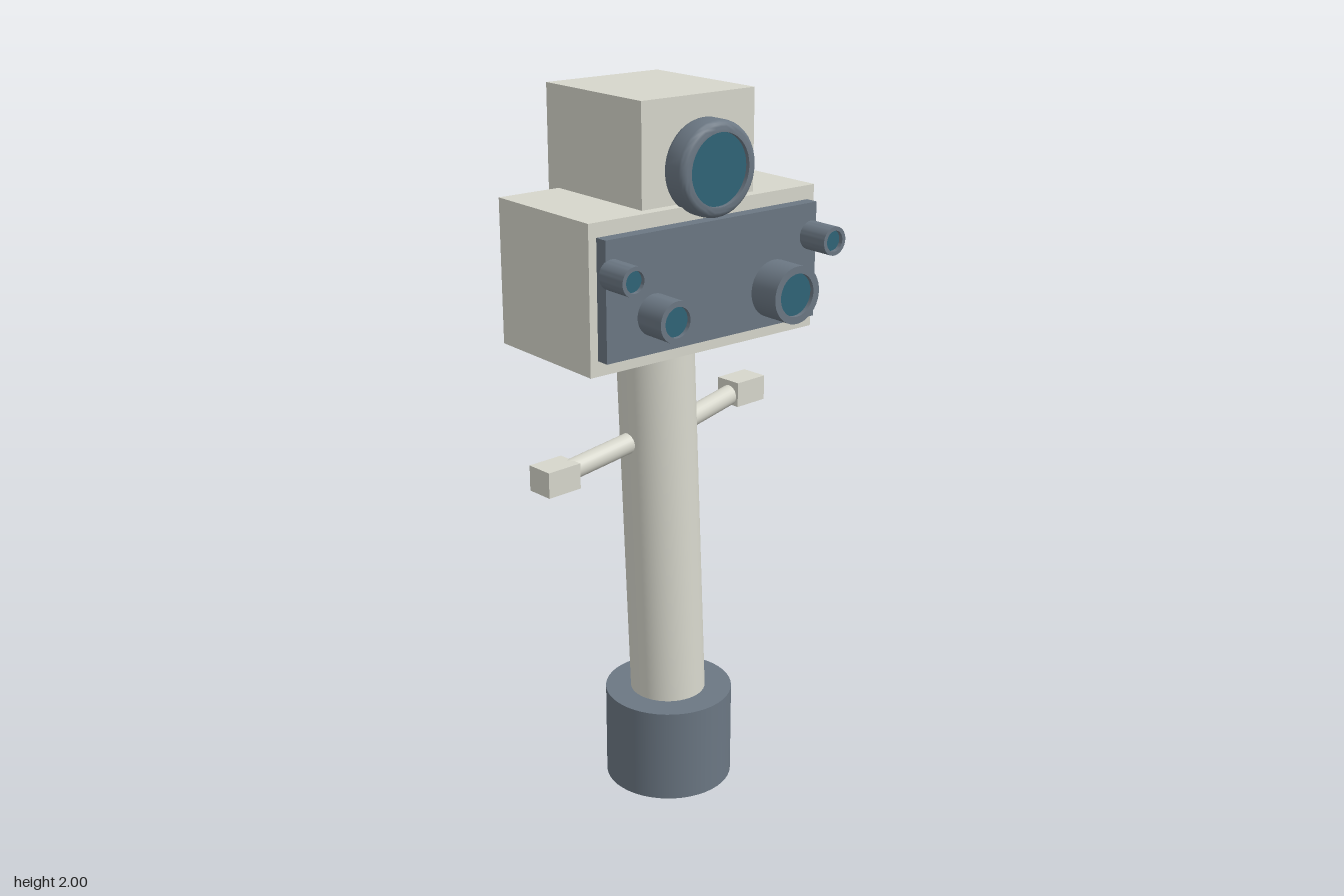
import * as THREE from 'three';
import { toCreasedNormals } from 'three/addons/utils/BufferGeometryUtils.js';

const V = (x, y, z) => new THREE.Vector3(x, y, z);

export function createModel() {
  const cream = new THREE.MeshStandardMaterial({ color: 0xd6d6cb, name: 'cream' });
  const slate = new THREE.MeshStandardMaterial({ color: 0x6b7783, name: 'slate' });
  const glass = new THREE.MeshStandardMaterial({ color: 0x2f6477, name: 'teal glass' });

  const model = new THREE.Group();
  model.name = 'robot';

  function add(parent, name, geometry, material, x = 0, y = 0, z = 0) {
    const mesh = new THREE.Mesh(geometry, material);
    mesh.name = name;
    mesh.position.set(x, y, z);
    parent.add(mesh);
    return mesh;
  }
  const box = (w, h, d) => new THREE.BoxGeometry(w, h, d);

  // Round bar between two points
  function rod(parent, name, a, b, radius, material, sides = 32) {
    const dir = b.clone().sub(a);
    const mesh = add(parent, name, new THREE.CylinderGeometry(radius, radius, dir.length(), sides), material);
    mesh.position.copy(a).lerp(b, 0.5);
    mesh.quaternion.setFromUnitVectors(V(0, 1, 0), dir.normalize());
  }

  // Forward-facing barrel with a recessed glass; bevel rounds the outer edges
  function lens(parent, name, x, y, back, front, radius, inner, bevel) {
    const group = new THREE.Group();
    group.name = name;
    group.position.set(x, y, back);
    group.rotation.x = Math.PI / 2;
    parent.add(group);
    const depth = front - back;
    const profile = [new THREE.Vector2(0, 0)];
    const steps = bevel ? 6 : 0;
    for (const top of [false, true]) {
      for (let i = 0; i <= steps; i++) {
        const t = (steps ? i / steps : 0) * Math.PI / 2;
        const r = radius - bevel + bevel * (top ? Math.cos(t) : Math.sin(t));
        const h = top ? depth - bevel + bevel * Math.sin(t) : bevel - bevel * Math.cos(t);
        profile.push(new THREE.Vector2(r, h));
      }
    }
    const recess = depth - 0.012;
    profile.push(new THREE.Vector2(inner, depth), new THREE.Vector2(inner, recess));
    add(group, 'barrel', toCreasedNormals(new THREE.LatheGeometry(profile, 40), 0.6), slate);
    const disc = add(group, 'glass', new THREE.CircleGeometry(inner, 40), glass, 0, recess, 0);
    disc.rotation.x = -Math.PI / 2;
  }

  // Base and leaning column
  add(model, 'base', new THREE.CylinderGeometry(0.183, 0.183, 0.275, 48), slate, -0.003, 0.1375, -0.015);
  rod(model, 'column', V(-0.003, 0.2, -0.0145), V(-0.003, 1.4, -0.0725), 0.108, cream, 48);
  rod(model, 'cable', V(0.113, 0.25, -0.019), V(0.113, 1.31, -0.076), 0.02, slate, 20);

  // Arms and block hands
  for (const [side, shoulder, hand] of [[1, 1.04, 1.09], [-1, 1.058, 1.0]]) {
    const label = side > 0 ? 'left' : 'right';
    rod(model, label + 'Arm', V(0, shoulder, -0.055), V(side * 0.35, hand, -0.084), 0.029, cream, 24);
    add(model, label + 'Hand', box(0.108, 0.072, 0.081), cream, side * 0.351, hand, -0.084);
  }

  // Head, turned slightly to its right
  const head = new THREE.Group();
  head.name = 'head';
  head.position.set(-0.0025, 0, -0.05);
  head.rotation.y = -0.07;
  model.add(head);
  add(head, 'mainHousing', box(0.752, 0.394, 0.39), cream, 0, 1.531, 0);
  add(head, 'upperHousing', box(0.371, 0.365, 0.404), cream, 0, 1.8175, -0.039);
  add(head, 'facePanel', box(0.704, 0.315, 0.05), slate, 0, 1.5325, 0.207);

  // Lenses
  lens(head, 'mainEye', 0.002, 1.82, 0.163, 0.247, 0.125, 0.095, 0.022);
  lens(head, 'smallRightLens', -0.333, 1.602, 0.23, 0.325, 0.039, 0.028, 0);
  lens(head, 'smallLeftLens', 0.333, 1.602, 0.23, 0.325, 0.039, 0.028, 0);
  lens(head, 'mediumLens', -0.2, 1.477, 0.23, 0.325, 0.055, 0.04, 0);
  lens(head, 'largeLens', 0.203, 1.477, 0.23, 0.325, 0.078, 0.058, 0);

  return model;
}
